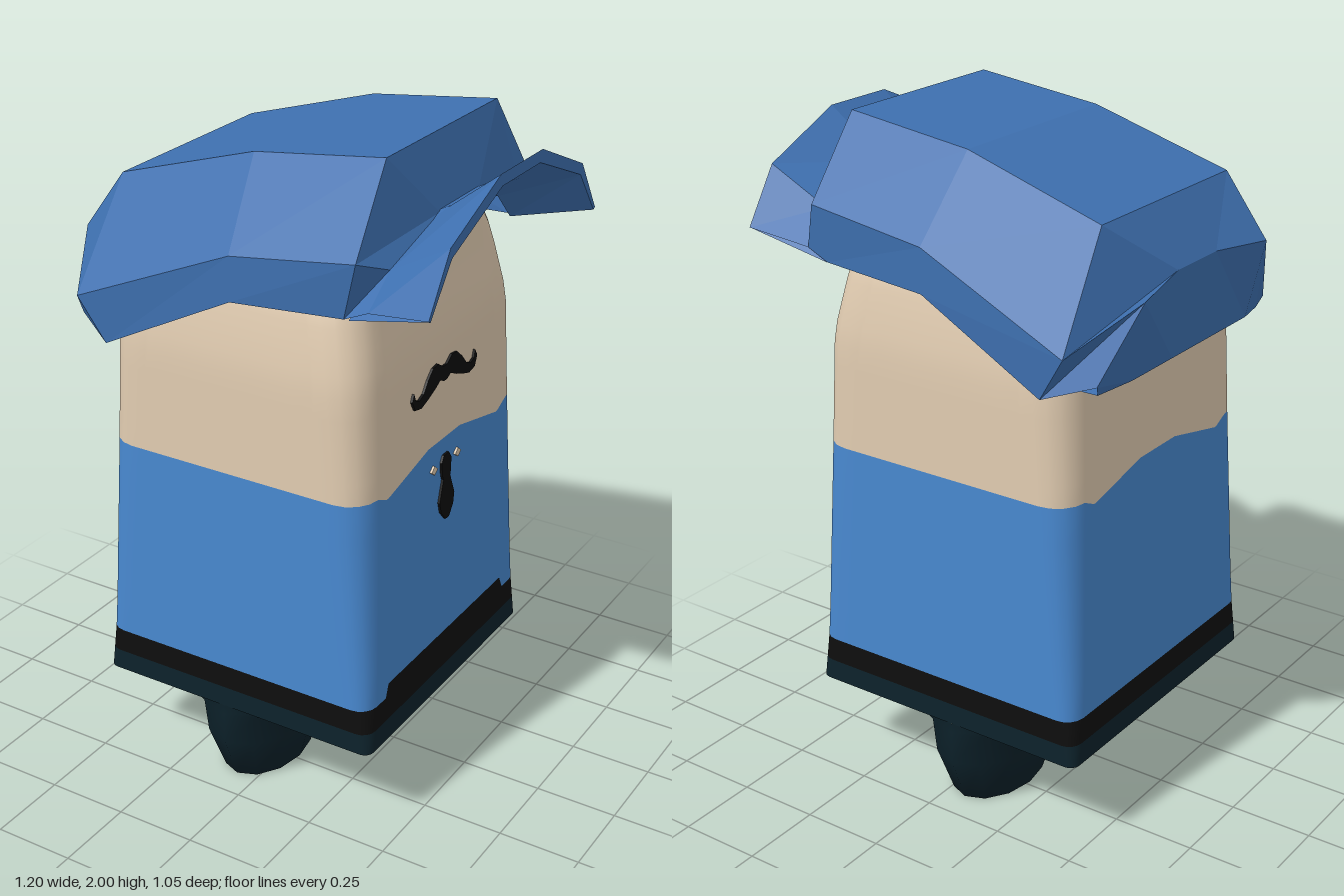
import * as THREE from 'three';

const mat = (name, color, side = THREE.FrontSide) => {
  const m = new THREE.MeshStandardMaterial({ color, side });
  m.name = name;
  return m;
};

// Joins rows of points into a surface; closed rows wrap around.
function loft(rows, closed, flat = false) {
  const n = rows[0].length, index = [];
  for (let i = 0; i < rows.length - 1; i++) {
    for (let j = 0; j < (closed ? n : n - 1); j++) {
      const k = (j + 1) % n, a = i * n + j, b = i * n + k;
      index.push(a, b, b + n, a, b + n, a + n);
    }
  }
  let g = new THREE.BufferGeometry();
  g.setAttribute('position', new THREE.Float32BufferAttribute(rows.flat(2), 3));
  g.setIndex(index);
  if (flat) g = g.toNonIndexed();
  g.computeVertexNormals();
  return g;
}

// Body profile: y, back x, front x, half depth, corner radius
const PROFILE = [
  [0.28, -0.49, 0.43, 0.467, 0.03],
  [0.45, -0.483, 0.423, 0.466, 0.06],
  [1.06, -0.455, 0.397, 0.463, 0.09],
  [1.4, -0.44, 0.382, 0.46, 0.1],
  [1.6, -0.43, 0.342, 0.425, 0.1],
  [1.72, -0.4, 0.32, 0.36, 0.1],
  [1.8, -0.36, 0.3, 0.3, 0.1],
];
function profileAt(y) {
  let i = 0;
  while (i < PROFILE.length - 2 && y > PROFILE[i + 1][0]) i++;
  const p = PROFILE[i], q = PROFILE[i + 1];
  const t = (y - p[0]) / (q[0] - p[0]);
  return p.map((v, k) => v + (q[k] - v) * t);
}

// Rounded-rectangle ring, as straight-part position (u, v) and normal (nx, nz)
const RING = [];
const STOPS = [1, 0.88, 0.85, 0.65, 0.45, 0.25, 0, -0.25, -0.45, -0.65, -0.85, -0.88, -1];
for (let side = 0; side < 4; side++) {
  const a = (side * Math.PI) / 2, c = Math.round(Math.cos(a)), s = Math.round(Math.sin(a));
  for (const t of STOPS) RING.push({ u: c + s * t, v: -s + c * t, nx: c, nz: -s, face: c });
  for (const f of [0.25, 0.5, 0.75]) {
    const b = a + (f * Math.PI) / 2;
    RING.push({ u: Math.sign(Math.cos(b)), v: -Math.sign(Math.sin(b)), nx: Math.cos(b), nz: -Math.sin(b), face: 0 });
  }
}
function bodyPoint(p, y) {
  const [, x0, x1, hz, r] = profileAt(y);
  return [(x0 + x1) / 2 + p.u * ((x1 - x0) / 2 - r) + r * p.nx, y, p.v * (hz - r) + r * p.nz];
}
// One coloured band of the body between two edge rules
function band(low, high, steps) {
  const rows = [];
  for (let i = 0; i <= steps; i++) {
    rows.push(RING.map((p) => bodyPoint(p, low(p) + ((high(p) - low(p)) * i) / steps)));
  }
  return loft(rows, true);
}

// Hat columns of half-section points, mirrored across z
const mirror = (pts) => [...pts, ...pts.slice().reverse().map(([x, y, z]) => [x, y, -z])];

export function createModel() {
  const group = new THREE.Group();
  const skin = mat('skin', 0xe0cbb0);
  const shirt = mat('shirt blue', 0x4888cf);
  const hatBlue = mat('hat blue', 0x3e70b0, THREE.DoubleSide);
  const black = mat('black', 0x0e0e0e);
  const trousers = mat('trousers', 0x0d222b);
  const add = (name, geo, m) => {
    const mesh = new THREE.Mesh(geo, m);
    mesh.name = name;
    group.add(mesh);
    return mesh;
  };

  // Body bands
  const level = (y) => () => y;
  const beltTop = (p) => (p.face === 1 && Math.abs(p.v) < 0.87 ? 0.46 : 0.42);
  const neckline = (p) => {
    if (!p.face) return 1.06;
    const v = Math.abs(p.v);
    if (v > 0.86) return v > 0.95 ? 1.06 : 1.04;
    return 1.09 - 0.05 * Math.max(0, (v - 0.25) / 0.6);
  };
  add('trouserTop', band(level(0.28), level(0.345), 1), trousers);
  add('belt', band(level(0.345), beltTop, 1), black);
  add('shirt', band(beltTop, neckline, 6), shirt);
  add('head', band(neckline, level(1.8), 12), skin);

  // Underside of the body
  const base = RING.map((p) => bodyPoint(p, 0.28));
  add('trouserBottom', loft([base.map(() => [-0.03, 0.28, 0]), base], true), trousers);

  // Stubby legs
  for (const s of [1, -1]) {
    const rows = [
      [0, 0, 0], [0, 0.115, 0.175], [0.15, 0.158, 0.235], [0.25, 0.185, 0.235], [0.282, 0.28, 0.235],
    ].map(([y, rx, rz]) => Array.from({ length: 12 }, (_, i) => {
      const a = (i / 12) * Math.PI * 2;
      return [-0.065 + rx * Math.cos(a), y, s * 0.235 - rz * Math.sin(a)];
    }));
    add(s > 0 ? 'legNear' : 'legFar', loft(rows, true), trousers);
  }

  // Hat: back underside, crown, front panel and flared brim in one sheet
  const hat = [
    [[-0.4, 1.4, 0.42], [-0.41, 1.42, 0.3], [-0.41, 1.42, 0.1]],
    [[-0.52, 1.4, 0.42], [-0.55, 1.41, 0.3], [-0.55, 1.41, 0.1]],
    [[-0.53, 1.43, 0.44], [-0.595, 1.64, 0.32], [-0.56, 1.66, 0.1]],
    [[-0.4, 1.39, 0.51], [-0.48, 1.52, 0.525], [-0.46, 1.82, 0.32]],
    [[0, 1.59, 0.485], [0, 1.72, 0.485], [-0.03, 1.95, 0.31]],
    [[0.34, 1.61, 0.465], [0.38, 1.77, 0.475], [0.368, 2, 0.305]],
    [[0.41, 1.64, 0.462], [0.42, 1.73, 0.37], [0.42, 1.805, 0.11]],
    [[0.6, 1.67, 0.49], [0.6, 1.83, 0.385], [0.6, 1.945, 0.12]],
    [[0.6, 1.665, 0.48], [0.6, 1.8, 0.375], [0.6, 1.91, 0.11]],
    [[0.35, 1.605, 0.455], [0.36, 1.7, 0.35], [0.36, 1.78, 0.1]],
  ];
  add('hat', loft(hat.map(mirror), false, true), hatBlue);

  // Thin plates laid on the face side
  const plate = (name, pts, m) => {
    const shape = new THREE.Shape(pts.map(([x, y]) => new THREE.Vector2(x, y)));
    const g = new THREE.ExtrudeGeometry(shape, { depth: 0.008, bevelEnabled: false });
    g.rotateY(Math.PI / 2);
    const pos = g.attributes.position;
    for (let i = 0; i < pos.count; i++) pos.setX(i, pos.getX(i) + profileAt(pos.getY(i))[2] - 0.001);
    return add(name, g, m);
  };
  const both = (half) => [...half, ...half.slice().reverse().map(([x, y]) => [-x, y])];
  plate('moustache', both([
    [0.01, 1.315], [0.04, 1.333], [0.07, 1.33], [0.1, 1.305], [0.125, 1.275], [0.15, 1.265], [0.17, 1.272],
    [0.178, 1.295], [0.19, 1.275], [0.175, 1.245], [0.14, 1.238], [0.1, 1.25], [0.06, 1.265], [0.03, 1.28], [0.01, 1.27],
  ]), black);
  plate('tie', both([
    [0.015, 1.04], [0.028, 1.02], [0.026, 0.98], [0.02, 0.965], [0.044, 0.9], [0.036, 0.865], [0.01, 0.835],
  ]), black);
  for (const s of [1, -1]) {
    const c = 0.07 * s;
    plate('collarTip', [[c - 0.018, 1.015], [c, 1.002], [c + 0.018, 1.015], [c, 1.03]], skin);
  }
  return group;
}
